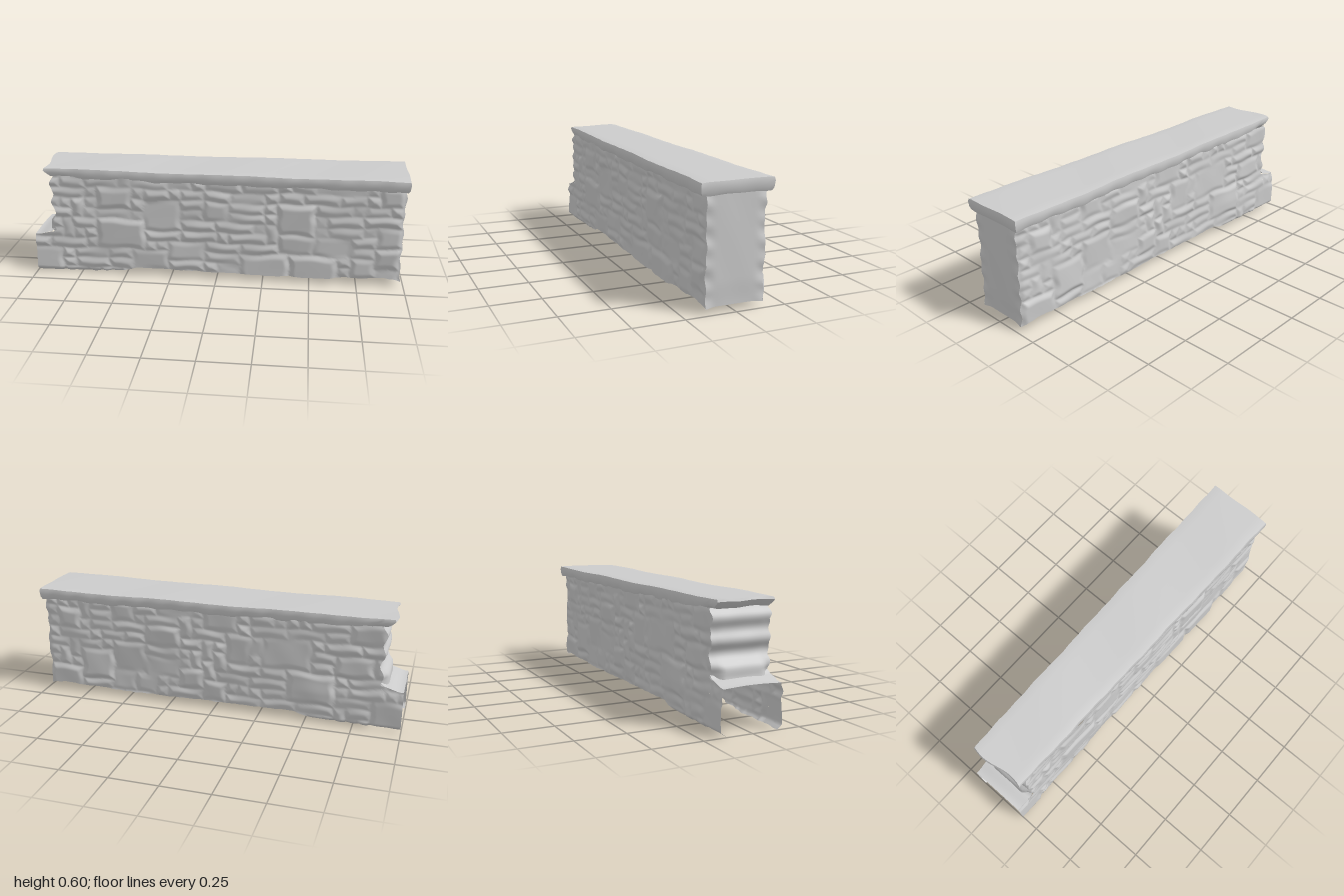
import * as THREE from 'three';
import { mergeVertices, toCreasedNormals } from 'three/addons/utils/BufferGeometryUtils.js';
import { ParametricGeometry } from 'three/addons/geometries/ParametricGeometry.js';

const { lerp, smoothstep, clamp } = THREE.MathUtils;
const WALL_TOP = 0.56;

function seeded(seed) {
  return () => {
    seed = (seed * 16807) % 2147483647;
    return seed / 2147483647;
  };
}

const wave = (a, b, s = 0) =>
  (Math.sin(a * 13 + s) + Math.sin(b * 17 + a * 7 + s * 2) + Math.sin(a * 31 - b * 23 + s * 3)) / 3;

// Fill a grid of cells with irregular rectangular stones; returns the relief at a point
function stonework(seed) {
  const rand = seeded(seed), cw = 0.065, ch = 0.058, cols = 33, rows = 11;
  const cells = Array.from({ length: rows }, () => new Array(cols).fill(null));
  for (let r = 0; r < rows; r++) {
    for (let c = 0; c < cols; c++) {
      if (cells[r][c]) continue;
      const big = rand() < 0.06;
      const w = big ? 3 + Math.floor(rand() * 2) : 1 + Math.floor(rand() * 3);
      const h = big ? 3 : rand() < 0.25 ? 2 : 1;
      const stone = { x0: c * cw, y0: r * ch, x1: c * cw, y1: Math.min(rows, r + h) * ch,
        out: rand() * 0.011, tilt: (rand() - 0.5) * 0.14, lean: (rand() - 0.5) * 0.06 };
      for (let i = c; i < Math.min(cols, c + w) && !cells[r][i]; i++) {
        for (let j = r; j < Math.min(rows, r + h); j++) cells[j][i] = stone;
        stone.x1 = (i + 1) * cw;
      }
    }
  }
  return (x, y) => {
    const px = clamp(x + 1.04 + 0.012 * wave(y * 2, x, seed), 0, cols * cw - 1e-4);
    const py = clamp(y + 0.02 + 0.011 * wave(x, y, seed + 1), 0, rows * ch - 1e-4);
    const s = cells[Math.floor(py / ch)][Math.floor(px / cw)];
    const edge = Math.min(px - s.x0, s.x1 - px, py - s.y0, s.y1 - py);
    const bulge = s.out + s.tilt * (py - (s.y0 + s.y1) / 2) + s.lean * (px - (s.x0 + s.x1) / 2);
    // Mortar is worn deeper in some places than in others
    const joint = -0.003 + 0.005 * wave(x * 0.8, y, seed + 2);
    return lerp(joint, bulge, smoothstep(edge, -0.008, 0.03));
  };
}

const relief = { 1: stonework(11), '-1': stonework(47) };

// Ragged lower edge, reaching deepest at the broken end
const bottomPoints = [[-1, 0.005], [-0.75, 0.008], [-0.58, 0.018], [-0.42, 0.045], [-0.2, 0.04],
  [0.1, 0.037], [0.5, 0.035], [0.75, 0.042], [0.88, 0.05], [0.94, 0.045], [0.98, 0.03]];
function bottom(x) {
  let i = 0;
  while (i < bottomPoints.length - 2 && x > bottomPoints[i + 1][0]) i++;
  const [a, b] = [bottomPoints[i], bottomPoints[i + 1]];
  return lerp(a[1], b[1], smoothstep(x, a[0], b[0])) + 0.003 * wave(x * 3, 0);
}

// Wavy vertical ends of the wall and the top of the low broken ledge
const leftEnd = y => -0.885 + 0.01 * Math.sin(y * 58) + 0.005 * Math.sin(y * 23);
const rightEnd = y => 0.977 + 0.004 * Math.sin(y * 66) + 0.003 * Math.sin(y * 29);
const ledgeTop = x => 0.22 + 0.02 * smoothstep(x, -0.99, -0.9) + 0.025 * smoothstep(x, -0.91, -0.87);

// Distance of a wall face from the centre plane; side is 1 in front, -1 behind
function faceZ(x, y, side) {
  let d = 0.151 + relief[side](x, y) + 0.002 * wave(x, y, side);
  if (side < 0) d += 0.008 * smoothstep(-x, 0.35, 0.6) * smoothstep(-y, -0.24, -0.16);
  d -= (side > 0 ? 0.025 : 0.035) * smoothstep(-y, -0.03, 0);
  d -= 0.006 * smoothstep(x, 0.955, 0.985);
  return side * d;
}

function sheet(name, fn, nu, nv) {
  const geometry = new ParametricGeometry(fn, nu, nv);
  geometry.computeVertexNormals();
  const mesh = new THREE.Mesh(geometry,
    new THREE.MeshStandardMaterial({ color: 0xcccccc, side: THREE.DoubleSide }));
  mesh.name = name;
  return mesh;
}

// A stone face between two end curves; u is mirrored behind so it faces outwards
function stoneFace(name, side, startX, endX, topY, nu, nv) {
  return sheet(name, (u, v, p) => {
    const t = side > 0 ? u : 1 - u;
    const x0 = lerp(startX(0.3), endX(0.3), t);
    const y = lerp(bottom(x0), topY(x0), v);
    const x = lerp(startX(y), endX(y), t);
    p.set(x, y, faceZ(x, y, side));
  }, nu, nv);
}

// End wall spanning front face to back face; bulge gives its swelling between them
function endWall(name, dir, edge, y0, bulge) {
  return sheet(name, (u, v, p) => {
    const y = lerp(y0, WALL_TOP, v), x = edge(y);
    const z = lerp(faceZ(x, y, 1), faceZ(x, y, -1), dir > 0 ? u : 1 - u);
    const inside = smoothstep(Math.min(u, 1 - u), 0, 0.18);
    p.set(lerp(x, bulge(x, y, z), inside), y + (1 - v) * 0.004 * inside, z);
  }, 20, 36);
}

// Coping slab with worn, rounded edges
function coping() {
  let geometry = new THREE.BoxGeometry(2, 2, 2, 110, 4, 12);
  geometry.deleteAttribute('uv');
  geometry.deleteAttribute('normal');
  geometry = mergeVertices(geometry);
  const pos = geometry.attributes.position;
  for (let i = 0; i < pos.count; i++) {
    const a = pos.getX(i), b = pos.getY(i), c = pos.getZ(i);
    const h = (b + 1) / 2;
    const left = lerp(-0.895, -0.93, smoothstep(h, 0, 0.8)) + 0.012 * Math.sin(c * 3);
    const right = lerp(0.99, 0.998, h) + 0.002 * Math.sin(c * 5);
    const round = 0.005 * smoothstep(Math.abs(b), 0.6, 1);
    let x = lerp(left, right, (a + 1) / 2);
    if (Math.abs(a) === 1) x -= a * round;
    let half = lerp(0.154, 0.182, (a + 1) / 2) - 0.006 * (1 - h) + 0.004 * wave(x * 1.5, 0, c > 0 ? 1 : 4);
    if (Math.abs(c) === 1) half -= round;
    const top = 0.601 + 0.002 * Math.sin(x * 9 + c) + 0.003 * smoothstep(-x, 0.3, 0.9)
      - 0.003 * smoothstep(Math.abs(c), 0.8, 1);
    const under = 0.542 + 0.007 * wave(x * 1.5, c * 0.3, 5) + 0.015 * smoothstep(-x, 0.7, 0.9);
    pos.setXYZ(i, x, lerp(under, top, h), c * half);
  }
  const mesh = new THREE.Mesh(toCreasedNormals(geometry, 0.8),
    new THREE.MeshStandardMaterial({ color: 0xcccccc }));
  mesh.name = 'coping';
  return mesh;
}

export function createModel() {
  const model = new THREE.Group();
  model.name = 'stoneWall';

  // Front and back stonework, continued by the low ledge
  for (const [label, side] of [['front', 1], ['back', -1]]) {
    model.add(stoneFace(label + 'Stonework', side, leftEnd, rightEnd, () => WALL_TOP, 260, 76));
    model.add(stoneFace(label + 'Ledge', side, () => -0.998, leftEnd, ledgeTop, 18, 32));
  }

  // Broken end spreads outwards above the ledge; the far end is nearly flat. The underside stays open
  model.add(endWall('leftEndWall', -1, leftEnd, 0.235, (x, y, z) =>
    x - 0.004 - 0.004 * wave(z, y, 1) - 0.035 * smoothstep(-y, -0.33, -0.245)));
  model.add(endWall('rightEndWall', 1, rightEnd, 0.028, (x, y, z) =>
    0.979 + 0.002 * wave(z, y * 0.6, 2) - 0.005 * smoothstep(-y, -0.15, -0.03)));

  // Top of the low ledge
  model.add(sheet('ledgeTop', (u, v, p) => {
    const x = lerp(-0.998, -0.87, u), y = ledgeTop(x);
    p.set(x, y + 0.006 * Math.sin(Math.PI * v), lerp(faceZ(x, y, 1), faceZ(x, y, -1), v));
  }, 14, 16));

  model.add(coping());
  return model;
}
